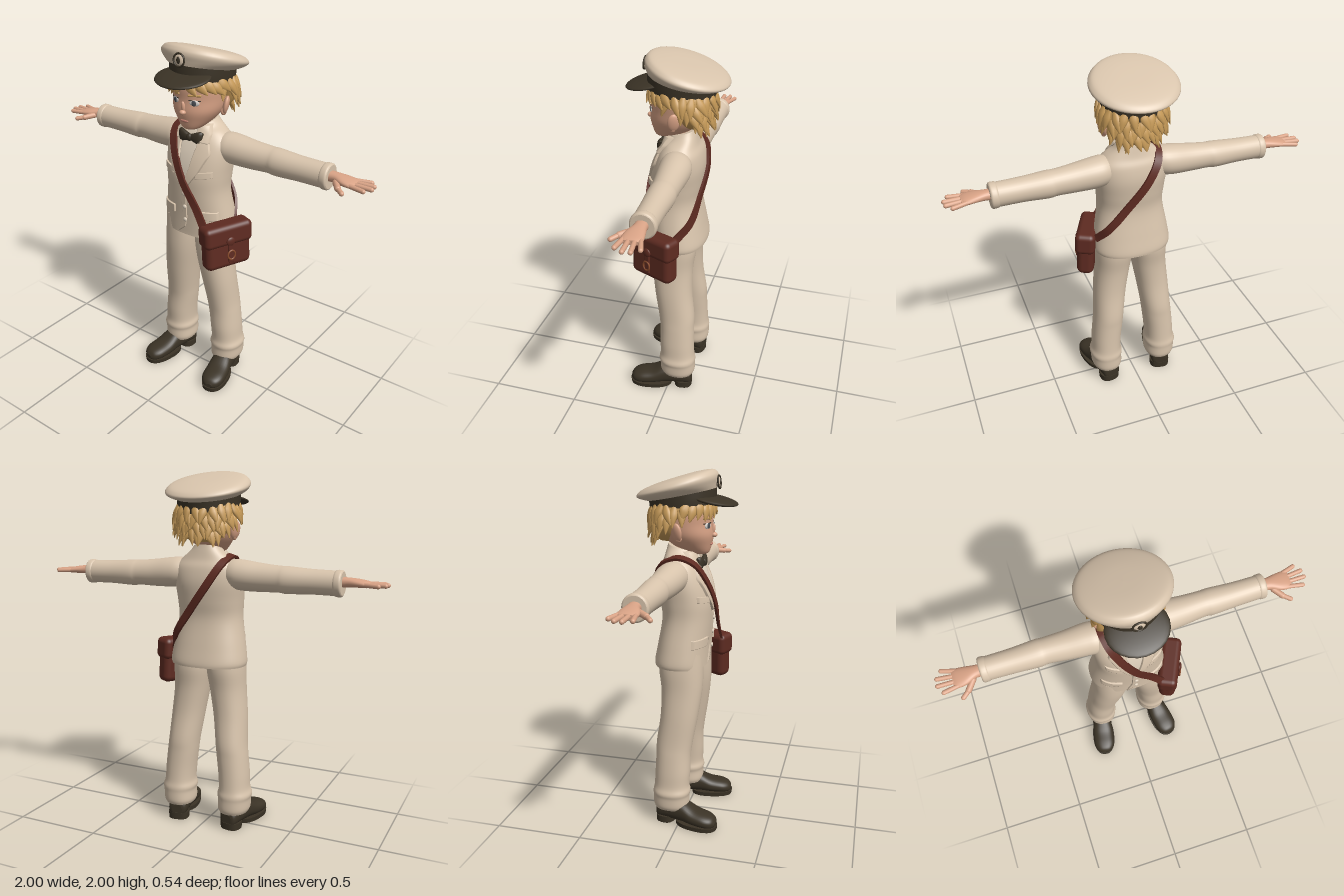
import * as THREE from 'three';
import { mergeGeometries, toCreasedNormals } from 'three/addons/utils/BufferGeometryUtils.js';
import { RoundedBoxGeometry } from 'three/addons/geometries/RoundedBoxGeometry.js';

const V = (x, y, z) => new THREE.Vector3(x, y, z);

// Catmull-Rom resampling of rows of numbers
function resample(rows, k = 5) {
  const out = [], at = i => rows[Math.max(0, Math.min(rows.length - 1, i))];
  for (let i = 0; i < rows.length - 1; i++) {
    for (let j = 0; j < k; j++) {
      const t = j / k, [p, a, b, q] = [at(i - 1), at(i), at(i + 1), at(i + 2)];
      out.push(a.map((_, c) => a[c] + 0.5 * t * (b[c] - p[c] + t * (2 * p[c] - 5 * a[c] + 4 * b[c] - q[c]
        + t * (3 * (a[c] - b[c]) + q[c] - p[c])))));
    }
  }
  out.push(rows[rows.length - 1]);
  return out;
}

// Closed skin over rings of points, with flat end caps
function skin(rings) {
  const m = rings[0].length, n = rings.length, pos = [], idx = [];
  rings.forEach(r => r.forEach(p => pos.push(p.x, p.y, p.z)));
  for (let i = 0; i < n - 1; i++) for (let j = 0; j < m; j++) {
    const a = i * m + j, b = i * m + (j + 1) % m;
    idx.push(a, a + m, b, b, a + m, b + m);
  }
  [rings[0], rings[n - 1]].forEach((r, e) => {
    const s = pos.length / 3, c = V(0, 0, 0);
    r.forEach(p => { pos.push(p.x, p.y, p.z); c.addScaledVector(p, 1 / m); });
    pos.push(c.x, c.y, c.z);
    for (let j = 0; j < m; j++) {
      const k = (j + 1) % m;
      idx.push(s + m, s + (e ? k : j), s + (e ? j : k));
    }
  });
  return finish(pos, idx);
}
function finish(pos, idx) {
  const g = new THREE.BufferGeometry();
  g.setAttribute('position', new THREE.Float32BufferAttribute(pos, 3));
  g.setIndex(idx);
  g.computeVertexNormals();
  return g;
}

// Loft of superellipses; row = [along, centreU, centreV, radiusU, radiusV, slope]
function loft(axis, rows, pow = 2, segs = 32) {
  return skin(resample(rows.map(r => [...r, 0].slice(0, 6))).map(([s, cu, cv, a, b, slope]) =>
    Array.from({ length: segs }, (_, j) => {
      const t = j / segs * Math.PI * 2, f = x => Math.sign(x) * Math.abs(x) ** (2 / pow);
      const u = cu + Math.max(a, 0.001) * f(Math.cos(t)), dv = Math.max(b, 0.001) * f(Math.sin(t));
      const w = s + slope * dv, v = cv + dv;
      return axis === 'y' ? V(u, w, v) : axis === 'x' ? V(w, v, u) : V(v, u, w);
    })));
}
// Front z of a y loft at x, y
function frontZ(rows, pow, x, y) {
  let i = 0;
  while (i < rows.length - 2 && rows[i + 1][0] < y) i++;
  const t = Math.max(0, Math.min(1, (y - rows[i][0]) / (rows[i + 1][0] - rows[i][0])));
  const [, cx, cz, rx, rz] = rows[i].map((a, c) => a + (rows[i + 1][c] - a) * t);
  return cz + rz * (1 - Math.min(1, Math.abs((x - cx) / rx)) ** pow) ** (1 / pow);
}
function put(g, p, r = [0, 0, 0], s = [1, 1, 1]) {
  const q = new THREE.Quaternion().setFromEuler(new THREE.Euler(r[0], r[1], r[2], 'YXZ'));
  return g.clone().applyMatrix4(new THREE.Matrix4().compose(V(...p), q, V(...s)));
}
const ball = (p, s, r) => put(new THREE.SphereGeometry(1, 24, 16), p, r, s);
function limb(a, b, r) {
  const d = V(...b).sub(V(...a)), g = new THREE.CapsuleGeometry(r, d.length(), 6, 12);
  g.applyQuaternion(new THREE.Quaternion().setFromUnitVectors(V(0, 1, 0), d.clone().normalize()));
  return g.translate(a[0] + d.x / 2, a[1] + d.y / 2, a[2] + d.z / 2);
}
// Merge without texture coordinates, so lofts and built-in shapes match
const merge = list => mergeGeometries(list.map(g => g.deleteAttribute('uv')));
function mirror(g) {
  const m = g.clone().scale(-1, 1, 1), ix = m.index.array;
  for (let i = 0; i < ix.length; i += 3) [ix[i], ix[i + 1]] = [ix[i + 1], ix[i]];
  return m;
}

export function createModel() {
  const model = new THREE.Group();
  const M = {};
  for (const [name, color] of Object.entries({ cream: 0xd8c4ac, shirt: 0xdfd0bc, dark: 0x3b3326, leather: 0x5e2b21,
    skin: 0xd9a386, hair: 0xc69a58, eyeWhite: 0xd8d2cc, iris: 0x4a4f55, lip: 0xc08070, buckle: 0x8a4c2c })) {
    M[name] = new THREE.MeshStandardMaterial({ color });
    M[name].name = name;
  }
  const add = (name, g, mat, parent = model) => {
    const mesh = new THREE.Mesh(g, M[mat]);
    mesh.name = name;
    parent.add(mesh);
  };
  const pair = (name, g, mat) => { add(name + 'Left', g, mat); add(name + 'Right', mirror(g), mat); };

  // Jacket body
  const torso = [[0.94, 0, -0.022, 0.215, 0.15], [0.97, 0, -0.022, 0.22, 0.15], [1.06, 0, -0.012, 0.207, 0.143],
    [1.2, 0, 0.004, 0.184, 0.136], [1.3, 0, 0, 0.188, 0.142], [1.4, 0, -0.015, 0.197, 0.137],
    [1.48, 0, -0.027, 0.192, 0.115], [1.53, 0, -0.032, 0.15, 0.09], [1.565, 0, -0.032, 0.1, 0.078, -0.2],
    [1.59, 0, -0.032, 0.078, 0.072, -0.25]];
  add('jacket', loft('y', torso, 2.3, 48), 'cream');
  const torsoFine = resample(torso.map(r => r.slice(0, 5)));
  // Raised cloth patch between two edges (low x first, top to bottom)
  const patch = (A, B, h = 0.01) => {
    const steps = [0, 0.04, ...Array.from({ length: 11 }, (_, i) => (i + 1) / 12), 0.96, 1], n = steps.length, pos = [], idx = [];
    const on = (E, t) => {
      const f = t * (E.length - 1), i = Math.min(E.length - 2, Math.floor(f));
      return [0, 1].map(c => E[i][c] + (E[i + 1][c] - E[i][c]) * (f - i));
    };
    steps.forEach((t, i) => steps.forEach((u, j) => {
      const a = on(A, t), b = on(B, t), x = a[0] + (b[0] - a[0]) * u, y = a[1] + (b[1] - a[1]) * u;
      const rim = i % (n - 1) === 0 || j % (n - 1) === 0;
      pos.push(x, y, frontZ(torsoFine, 2.3, x, y) + (rim ? -0.004 : h));
      if (i && j) {
        const d = i * n + j, c = d - 1, q = d - n, p = q - 1;
        idx.push(p, c, q, q, c, d);
      }
    }));
    return finish(pos, idx);
  };
  add('shirtFront', patch([[-0.06, 1.55], [-0.05, 1.42], [0, 1.25]], [[0.06, 1.55], [0.05, 1.42], [0.005, 1.25]], 0.003), 'shirt');
  pair('lapel', patch([[0.045, 1.56], [0.05, 1.47], [0.032, 1.36], [0, 1.24]],
    [[0.09, 1.555], [0.135, 1.435], [0.085, 1.33], [0.02, 1.24]], 0.012), 'cream');
  pair('collar', patch([[0.03, 1.575], [0.035, 1.53], [0.05, 1.49]], [[0.085, 1.575], [0.11, 1.53], [0.115, 1.485]], 0.018), 'cream');
  pair('hipPocketFlap', patch([[0.07, 1.11], [0.07, 1.06]], [[0.18, 1.105], [0.185, 1.055]]), 'cream');
  pair('breastPocketFlap', patch([[0.07, 1.335], [0.07, 1.3]], [[0.155, 1.345], [0.155, 1.31]]), 'cream');
  add('frontEdge', patch([[-0.018, 1.25], [-0.018, 1.05], [-0.05, 0.945]], [[0.012, 1.25], [0.012, 1.05], [0, 0.99]], 0.007), 'cream');
  [1.2, 1.12, 1.04].forEach(y => add('button', ball([0.004, y, frontZ(torsoFine, 2.3, 0, y) + 0.01], [0.012, 0.012, 0.007]), 'shirt'));

  // Sleeves and cuffs
  pair('sleeve', loft('x', [[0.09, -0.035, 1.455, 0.06, 0.06], [0.16, -0.038, 1.452, 0.084, 0.08], [0.22, -0.042, 1.447, 0.085, 0.083],
    [0.32, -0.045, 1.44, 0.076, 0.077], [0.42, -0.05, 1.437, 0.069, 0.071], [0.47, -0.05, 1.434, 0.072, 0.073],
    [0.6, -0.05, 1.432, 0.065, 0.066], [0.74, -0.052, 1.43, 0.062, 0.065]]), 'cream');
  pair('cuff', loft('x', [[0.725, -0.052, 1.43, 0.062, 0.064], [0.735, -0.052, 1.43, 0.066, 0.069],
    [0.758, -0.052, 1.43, 0.066, 0.069], [0.766, -0.052, 1.43, 0.058, 0.061]]), 'cream');

  // Hands
  const hand = [loft('x', [[0.74, -0.05, 1.436, 0.033, 0.029], [0.79, -0.05, 1.438, 0.034, 0.025], [0.84, -0.045, 1.436, 0.048, 0.022],
    [0.885, -0.045, 1.432, 0.053, 0.018], [0.908, -0.045, 1.43, 0.046, 0.012]], 2.2, 24),
  limb([0.81, 1.428, -0.015], [0.845, 1.42, 0.03], 0.016), limb([0.845, 1.42, 0.03], [0.88, 1.414, 0.058], 0.0125)];
  [[-0.086, 0.955, -0.108], [-0.06, 0.984, -0.072], [-0.032, 0.988, -0.034], [-0.006, 0.965, 0.008]].forEach(([z0, x, z]) =>
    hand.push(limb([0.885, 1.432, z0], [x, 1.43, z], 0.012)));
  pair('hand', merge(hand), 'skin');

  // Trousers
  pair('trouserLeg', loft('y', [[0.095, 0.172, -0.05, 0.08, 0.094], [0.12, 0.173, -0.05, 0.09, 0.103], [0.17, 0.175, -0.05, 0.091, 0.104],
    [0.2, 0.175, -0.048, 0.096, 0.107], [0.24, 0.173, -0.048, 0.086, 0.1], [0.32, 0.168, -0.044, 0.086, 0.1],
    [0.42, 0.157, -0.042, 0.087, 0.099], [0.5, 0.148, -0.036, 0.087, 0.103], [0.65, 0.132, -0.014, 0.093, 0.106],
    [0.8, 0.112, -0.004, 0.099, 0.115], [0.92, 0.102, -0.01, 0.106, 0.124], [1.02, 0.1, -0.01, 0.1, 0.12]], 2.2), 'cream');

  // Shoes
  const shoe = merge([
    loft('z', [[-0.135, 0.06, 0, 0.03, 0.03], [-0.12, 0.066, 0, 0.05, 0.052], [-0.05, 0.082, 0, 0.062, 0.06], [0.03, 0.079, 0, 0.06, 0.062],
      [0.1, 0.06, 0, 0.045, 0.068], [0.17, 0.052, 0, 0.038, 0.066], [0.21, 0.045, 0, 0.03, 0.047], [0.228, 0.04, 0, 0.012, 0.02]], 2.3),
    loft('y', [[0, 0, 0.108, 0.069, 0.123], [0.026, 0, 0.108, 0.072, 0.126]], 2.4),
    loft('y', [[0, 0, -0.085, 0.058, 0.052], [0.04, 0, -0.085, 0.06, 0.054]], 2.6),
    loft('y', [[0.07, 0, -0.05, 0.06, 0.075], [0.125, 0, -0.055, 0.056, 0.068]])]);
  pair('shoe', put(shoe, [0.186, 0, 0], [0, 0.2, 0]), 'dark');

  // Head
  const head = [[1.553, 0, 0.075, 0.02, 0.025], [1.565, 0, 0.06, 0.055, 0.06], [1.61, 0, 0.022, 0.1, 0.112], [1.66, 0, 0.005, 0.131, 0.138],
    [1.72, 0, -0.015, 0.144, 0.153], [1.78, 0, -0.02, 0.15, 0.16], [1.84, 0, -0.02, 0.14, 0.15], [1.88, 0, -0.02, 0.1, 0.11]];
  add('head', loft('y', head, 2.1, 40), 'skin');
  const faceFine = resample(head), faceZ = (x, y) => frontZ(faceFine, 2.1, x, y);
  add('neck', loft('y', [[1.48, 0, -0.03, 0.062, 0.06], [1.54, 0, -0.025, 0.06, 0.058], [1.64, 0, -0.015, 0.062, 0.062]]), 'skin');
  add('nose', merge([ball([0, 1.658, faceZ(0, 1.658) + 0.004], [0.018, 0.014, 0.018]),
    ball([0, 1.685, faceZ(0, 1.685)], [0.011, 0.032, 0.011], [0.15, 0, 0])]), 'skin');
  add('mouth', ball([0, 1.609, faceZ(0, 1.609)], [0.027, 0.007, 0.006]), 'lip');
  pair('ear', merge([ball([0.154, 1.685, -0.02], [0.016, 0.05, 0.032], [0, 0.45, -0.2]),
    ball([0.145, 1.65, -0.012], [0.014, 0.02, 0.018])]), 'skin');
  const ez = faceZ(0.06, 1.712);
  pair('eyeWhite', ball([0.06, 1.712, ez - 0.001], [0.027, 0.016, 0.006], [0, 0.35, 0]), 'eyeWhite');
  pair('iris', ball([0.059, 1.712, ez + 0.003], [0.014, 0.015, 0.004], [0, 0.35, 0]), 'iris');
  pair('eyelid', limb([0.034, 1.725, faceZ(0.034, 1.725)], [0.086, 1.724, faceZ(0.086, 1.724)], 0.0035), 'dark');
  pair('eyebrow', limb([0.032, 1.75, faceZ(0.032, 1.75)], [0.088, 1.752, faceZ(0.088, 1.752)], 0.006), 'hair');

  // Hair shell with rows of locks
  const lock = loft('y', [[-0.085, 0.008, 0.008, 0.002, 0.002], [-0.05, 0.003, 0.006, 0.016, 0.009], [-0.015, 0, 0, 0.024, 0.014],
    [0.025, 0, -0.005, 0.012, 0.007]], 2, 10);
  const hair = [loft('y', [[1.625, 0, -0.09, 0.07, 0.06], [1.66, 0, -0.092, 0.12, 0.085], [1.7, 0, -0.09, 0.148, 0.098],
    [1.75, 0, -0.075, 0.166, 0.118], [1.8, 0, -0.04, 0.172, 0.155], [1.84, 0, -0.03, 0.155, 0.155]], 2.1)];
  [[1.685, 9, 1.0, 0.12, 0.088, -0.09], [1.725, 11, 1.3, 0.15, 0.102, -0.085], [1.765, 13, 1.6, 0.165, 0.122, -0.07],
    [1.8, 15, 1.95, 0.172, 0.15, -0.045]].forEach(([y, n, span, rx, rz, cz], row) => {
    for (let k = 0; k < n; k++) {
      const a = Math.PI + span * (2 * k / (n - 1) - 1);
      hair.push(put(lock, [rx * Math.sin(a), y + 0.006 * Math.sin(k * 5 + row), cz + rz * Math.cos(a)],
        [-0.18, a, 0.35 * Math.sin(k * 2.3 + row * 1.7)]));
    }
  });
  [-1.25, -1.0, -0.75, -0.5, -0.28, -0.06, 0.2, 0.5, 0.75, 1.0, 1.25].forEach((a, k) =>
    hair.push(put(lock, [0.165 * Math.sin(a), 1.815 + 0.006 * Math.sin(k * 4), -0.02 + 0.163 * Math.cos(a)],
      [-0.08, a, a < 0.1 ? -0.5 : 0.65], [1.15, 0.9, 1])));
  add('hair', merge(hair), 'hair');

  // Peaked cap
  add('capBand', loft('y', [[1.8, 0, -0.022, 0.166, 0.178, 0.16], [1.835, 0, -0.024, 0.17, 0.18, 0.18], [1.885, 0, -0.028, 0.173, 0.182, 0.2]], 2, 48), 'dark');
  add('capCrown', loft('y', [[1.868, -0.004, -0.028, 0.176, 0.186, 0.2], [1.885, -0.005, -0.042, 0.212, 0.204, 0.23],
    [1.905, -0.006, -0.052, 0.232, 0.218, 0.26], [1.925, -0.006, -0.054, 0.226, 0.212, 0.28], [1.944, -0.006, -0.054, 0.195, 0.184, 0.3],
    [1.956, -0.006, -0.052, 0.11, 0.105, 0.3], [1.959, -0.006, -0.05, 0.002, 0.002, 0.3]], 2, 48), 'cream');
  add('visor', ball([0, 1.843, 0.142], [0.155, 0.02, 0.134], [0.2, 0, 0]), 'dark');
  add('badgeRing', put(new THREE.TorusGeometry(0.033, 0.005, 8, 28), [0, 1.935, 0.172], [-0.1, 0, 0]), 'dark');
  add('badge', ball([0, 1.935, 0.165], [0.031, 0.031, 0.014], [-0.1, 0, 0]), 'cream');
  add('badgeStud', ball([0, 1.935, 0.177], [0.012, 0.018, 0.006]), 'dark');

  // Bow tie
  pair('bowTie', loft('x', [[0, 0.085, 1.507, 0.014, 0.014], [0.03, 0.085, 1.508, 0.016, 0.026], [0.06, 0.08, 1.508, 0.017, 0.036],
    [0.076, 0.074, 1.508, 0.01, 0.03]], 2.5, 20), 'dark');
  add('bowKnot', ball([0, 1.507, 0.092], [0.018, 0.021, 0.015]), 'dark');

  // Shoulder strap: [point, outward direction]
  const path = [[[0.155, 1.03, 0.165], [0.4, 0, 0.9]], [[0.09, 1.14, 0.158], [0.2, 0, 1]], [[0, 1.28, 0.158], [0, 0, 1]],
    [[-0.075, 1.42, 0.124], [-0.1, 0.3, 1]], [[-0.12, 1.515, 0.066], [-0.2, 0.7, 0.7]], [[-0.135, 1.548, -0.02], [-0.3, 1, 0]],
    [[-0.115, 1.505, -0.122], [-0.1, 0.6, -0.8]], [[-0.05, 1.4, -0.16], [0, 0.1, -1]], [[0.07, 1.24, -0.143], [0.2, 0, -1]],
    [[0.16, 1.12, -0.115], [0.6, 0, -0.8]], [[0.215, 1.03, -0.045], [0.9, 0, -0.4]]];
  const [line, out] = [0, 1].map(c => new THREE.CatmullRomCurve3(path.map(p => V(...p[c]))));
  const rings = Array.from({ length: 81 }, (_, i) => {
    const p = line.getPoint(i / 80), T = line.getTangent(i / 80);
    const W = T.clone().cross(out.getPoint(i / 80)).normalize(), N = W.clone().cross(T);
    return [[1, 1], [1, -1], [-1, -1], [-1, 1]].map(([n, w]) => p.clone().addScaledVector(N, n * 0.007).addScaledVector(W, w * 0.021));
  });
  add('shoulderStrap', toCreasedNormals(skin(rings), 0.8), 'leather');

  // Satchel
  const bag = new THREE.Group();
  bag.name = 'satchel';
  bag.position.set(0.228, 0.925, 0.068);
  bag.rotation.set(-0.04, 1.13, 0.03, 'YXZ');
  add('bagBody', new RoundedBoxGeometry(0.275, 0.25, 0.095, 4, 0.035), 'leather', bag);
  add('bagFlap', new RoundedBoxGeometry(0.292, 0.125, 0.112, 4, 0.03).translate(0, 0.075, 0.002), 'leather', bag);
  add('bagClaspStrap', new RoundedBoxGeometry(0.036, 0.13, 0.014, 2, 0.006).translate(0, -0.015, 0.06), 'leather', bag);
  add('bagStud', ball([0, 0.045, 0.062], [0.026, 0.026, 0.01]), 'leather', bag);
  add('bagBuckle', put(new THREE.TorusGeometry(0.022, 0.005, 8, 20), [0, -0.035, 0.066], [0, 0, 0], [1, 1.2, 1]), 'buckle', bag);
  model.add(bag);
  return model;
}
